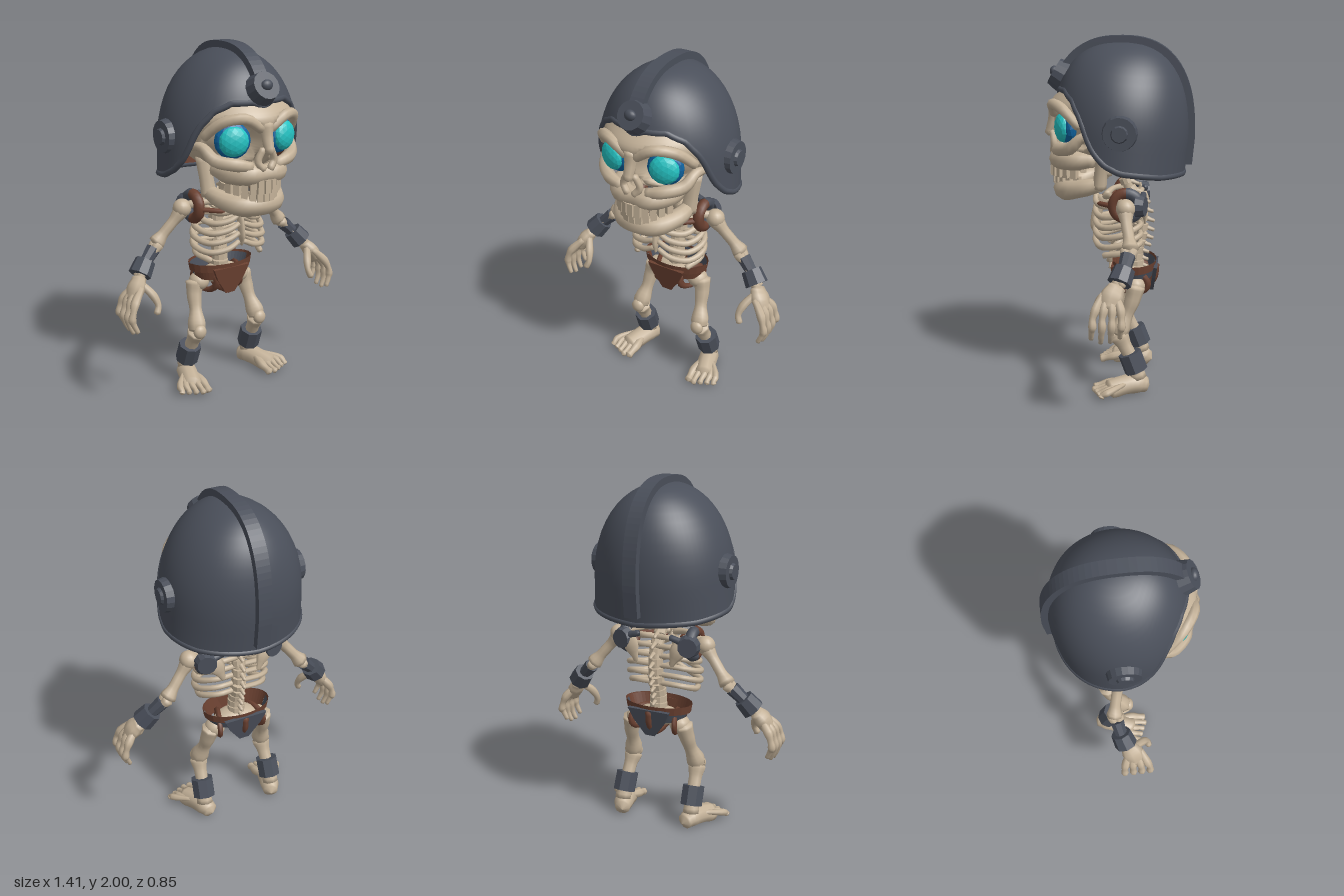
import * as THREE from 'three';

const mat = (name, color, side = THREE.FrontSide) => {
  const m = new THREE.MeshStandardMaterial({ color, side });
  m.name = name;
  return m;
};
const V = (x, y, z) => new THREE.Vector3(x, y, z);
const smooth = THREE.MathUtils.smoothstep;

export function createModel() {
  const model = new THREE.Group();
  model.name = 'helmetedSkeleton';
  const BONE = mat('bone', 0xc4b299), IRON = mat('iron', 0x4a4f5a, THREE.DoubleSide);
  const LEATHER = mat('leather', 0x6b4131, THREE.DoubleSide);
  const BLUE = mat('eyeBlue', 0x0f639f), CYAN = mat('eyeCyan', 0x25c3c3);

  const add = (name, geo, material) => {
    const m = new THREE.Mesh(geo, material);
    m.name = name;
    model.add(m);
    return m;
  };
  const facet = g => { const f = g.index ? g.toNonIndexed() : g; f.computeVertexNormals(); return f; };
  const indexed = (pos, idx) => {
    const g = new THREE.BufferGeometry();
    g.setAttribute('position', new THREE.Float32BufferAttribute(pos, 3));
    g.setIndex(idx);
    g.computeVertexNormals();
    return g;
  };

  // Smooth tapered sweep through [x, y, z, radius] points, never below the ground
  function bone(name, pts, material = BONE, sides = 8, flat = 1) {
    const curve = new THREE.CatmullRomCurve3(pts.map(p => V(p[0], p[1], p[2])));
    const seg = (pts.length - 1) * 4, pos = [], idx = [], T = [];
    for (let i = 0; i <= seg; i++) T.push(curve.getTangent(i / seg));
    const ref = [V(0, 1, 0), V(0, 0, 1), V(1, 0, 0)]
      .map(a => [a, Math.max(...T.map(t => Math.abs(t.dot(a))))]).sort((a, b) => a[1] - b[1])[0][0];
    for (let k = -1; k <= seg + 1; k++) {
      const i = Math.min(seg, Math.max(0, k)), f = (i / seg) * (pts.length - 1);
      const j = Math.min(pts.length - 2, Math.floor(f));
      let r = THREE.MathUtils.lerp(pts[j][3], pts[j + 1][3], smooth(f - j, 0, 1));
      const c = curve.getPoint(i / seg);
      if (k !== i) { c.addScaledVector(T[i], (k - i) * r * 0.45); r = 0.001; }
      const a = V().crossVectors(ref, T[i]).normalize(), b = V().crossVectors(T[i], a);
      for (let s = 0; s < sides; s++) {
        const q = (s / sides) * Math.PI * 2;
        const p = c.clone().addScaledVector(a, r * Math.cos(q)).addScaledVector(b, r * flat * Math.sin(q));
        pos.push(p.x, Math.max(0, p.y), p.z);
      }
    }
    for (let k = 0; k < seg + 2; k++) for (let s = 0; s < sides; s++) {
      const a = k * sides + s, b = k * sides + (s + 1) % sides;
      idx.push(a, b, a + sides, b, b + sides, a + sides);
    }
    return add(name, indexed(pos, idx), material);
  }

  // Straight faceted cylinder between two points
  function rod(name, a, b, r0, r1, material, sides = 8) {
    const d = b.clone().sub(a);
    const m = add(name, facet(new THREE.CylinderGeometry(r1, r0, d.length(), sides)), material);
    m.position.copy(a).lerp(b, 0.5);
    m.quaternion.setFromUnitVectors(V(0, 1, 0), d.normalize());
    return m;
  }
  function ball(name, p, s, material = BONE) {
    const m = add(name, new THREE.SphereGeometry(1, 16, 12), material);
    m.position.set(...p);
    m.scale.set(...s);
    return m;
  }

  // ---- Helmet: dome whose lower edge height depends on the heading
  const edgeKeys = [[0, 1.69], [10, 1.715], [30, 1.715], [45, 1.67], [57, 1.58], [68, 1.42], [78, 1.345], [92, 1.3], [130, 1.265], [180, 1.245]];
  const edgeY = a => {
    const d = Math.abs(THREE.MathUtils.radToDeg(a > Math.PI ? a - 2 * Math.PI : a));
    const k = Math.max(1, edgeKeys.findIndex(e => e[0] >= d - 1e-6)), p = edgeKeys[k - 1], q = edgeKeys[k];
    return p[1] + (q[1] - p[1]) * (d - p[0]) / (q[0] - p[0]);
  };
  const dome = (a, y, off) => {
    const u = (y - 1.45) / 0.515, w = Math.min(1, Math.max(0, u)), low = Math.min(0, u);
    const rx = (0.395 + off) * Math.sqrt(1 - w * w) - low * 0.025;
    const rz = (0.377 + off) * Math.pow(1 - Math.pow(w, 2.5), 0.4) + low * 0.05;
    return V(rx * Math.sin(a), y + off * w, rz * Math.cos(a));
  };
  function shell(name, off, flip, material) {
    const N = 72, M = 16, pos = [], idx = [];
    for (let i = 0; i < N; i++) for (let j = 0; j <= M; j++) {
      const a = (i / N) * Math.PI * 2;
      const y = 1.45 + 0.515 * Math.cos(Math.acos((edgeY(a) - 1.45) / 0.515) * j / M);
      pos.push(...dome(a, y, off).toArray());
    }
    for (let i = 0; i < N; i++) for (let j = 0; j < M; j++) {
      const a = i * (M + 1) + j, b = ((i + 1) % N) * (M + 1) + j;
      if (flip) idx.push(a, b, a + 1, b, b + 1, a + 1);
      else idx.push(a, a + 1, b, b, a + 1, b + 1);
    }
    add(name, indexed(pos, idx), material);
  }
  shell('helmetShell', 0, false, IRON);
  shell('helmetLining', -0.025, true, LEATHER);
  const rimPts = Array.from({ length: 72 }, (_, i) => {
    const a = (i / 72) * Math.PI * 2;
    return dome(a, edgeY(a), -0.01);
  });
  add('helmetRim', new THREE.TubeGeometry(new THREE.CatmullRomCurve3(rimPts, true), 144, 0.018, 8, true), IRON);

  // Crest strip running from brow to nape
  const crestLine = (off, yf, yb) => Array.from({ length: 41 }, (_, i) => {
    const t = i / 40, f0 = Math.acos((yf - 1.45) / 0.515), b0 = Math.acos((yb - 1.45) / 0.515);
    const q = -f0 + t * (f0 + b0);
    const p = dome(q < 0 ? 0 : Math.PI, 1.45 + 0.515 * Math.cos(q), off);
    return new THREE.Vector2(p.z, p.y);
  });
  const crest = new THREE.ExtrudeGeometry(
    new THREE.Shape([...crestLine(0.035, 1.77, 1.29), ...crestLine(-0.01, 1.77, 1.29).reverse()]),
    { depth: 0.08, bevelEnabled: false });
  crest.rotateY(-Math.PI / 2).translate(0.04, 0, 0);
  add('helmetCrest', crest, IRON);

  // Round bosses on brow and ears
  const n = V(0, 0.5, 0.87).normalize(), bc = V(0, 1.785, 0.345);
  rod('browBoss', bc.clone().addScaledVector(n, -0.03), bc.clone().addScaledVector(n, 0.035), 0.092, 0.078, IRON, 14);
  ball('browStud', bc.clone().addScaledVector(n, 0.035).toArray(), [0.035, 0.03, 0.025], IRON);
  for (const s of [-1, 1]) {
    rod('earBoss', V(s * 0.37, 1.51, -0.015), V(s * 0.415, 1.51, -0.015), 0.097, 0.088, IRON, 18);
    rod('earStud', V(s * 0.41, 1.51, -0.015), V(s * 0.43, 1.51, -0.015), 0.05, 0.04, IRON, 12);
  }

  // ---- Skull: ellipsoid with pressed-in eye sockets and nose
  const skull = new THREE.SphereGeometry(1, 72, 52).scale(0.32, 0.27, 0.35).translate(0, 1.56, 0.04);
  const sp = skull.attributes.position;
  for (let i = 0; i < sp.count; i++) {
    const x = sp.getX(i), y = sp.getY(i), z = sp.getZ(i);
    if (z < 0.1) continue;
    const eye = 1 - smooth(Math.hypot(Math.abs(x) - 0.155, y - 1.51), 0.095, 0.135);
    const nose = 1 - smooth(Math.hypot(x * 1.3, y - 1.4), 0.03, 0.06);
    const brow = Math.exp(-Math.pow((y - 1.63) / 0.05, 2)) * 0.02;
    sp.setZ(i, z + brow - 0.1 * eye - 0.06 * nose);
  }
  skull.computeVertexNormals();
  add('skull', skull, BONE);
  bone('noseBridge', [[0, 1.6, 0.37, 0.04], [0, 1.52, 0.385, 0.032], [0, 1.45, 0.41, 0.026]]);
  bone('upperJaw', [[0.17, 1.33, 0.14, 0.04], [0.155, 1.325, 0.25, 0.055], [0.09, 1.325, 0.335, 0.06], [0, 1.325, 0.35, 0.05],
    [-0.09, 1.325, 0.335, 0.06], [-0.155, 1.325, 0.25, 0.055], [-0.17, 1.33, 0.14, 0.04]], BONE, 10);
  bone('lowerJaw', [[0.19, 1.2, 0.1, 0.04], [0.175, 1.175, 0.2, 0.05], [0.1, 1.15, 0.3, 0.06], [0, 1.15, 0.325, 0.062],
    [-0.1, 1.15, 0.3, 0.06], [-0.175, 1.175, 0.2, 0.05], [-0.19, 1.2, 0.1, 0.04]], BONE, 10);
  for (let i = -5; i <= 5; i++) {
    const a = i * 0.23, x = 0.165 * Math.sin(a), z = 0.16 + 0.225 * Math.cos(a);
    for (const [name, y, h] of [['upperTooth', 1.262, 0.075], ['lowerTooth', 1.205, 0.055]]) {
      const t = add(name, new THREE.BoxGeometry(0.034, h, 0.035), BONE);
      t.position.set(x * (y > 1.23 ? 1 : 0.93), y, z - (y > 1.23 ? 0 : 0.015));
      t.rotation.y = a;
    }
  }
  for (const s of [-1, 1]) {
    bone('jawRamus', [[s * 0.19, 1.18, 0.11, 0.04], [s * 0.2, 1.27, 0.1, 0.036], [s * 0.21, 1.4, 0.08, 0.04]], BONE, 8, 1.2);
    bone('browRidge', [[s * 0.03, 1.575, 0.375, 0.028], [s * 0.13, 1.635, 0.37, 0.03], [s * 0.23, 1.615, 0.3, 0.03], [s * 0.288, 1.53, 0.21, 0.026]]);
    bone('cheekbone', [[s * 0.08, 1.37, 0.355, 0.03], [s * 0.17, 1.39, 0.335, 0.036], [s * 0.25, 1.41, 0.26, 0.036], [s * 0.28, 1.47, 0.19, 0.028], [s * 0.3, 1.46, 0.07, 0.02]]);
    bone('noseSide', [[s * 0.025, 1.47, 0.385, 0.018], [s * 0.052, 1.4, 0.375, 0.02], [s * 0.02, 1.355, 0.385, 0.02]]);
    // Glowing eyes
    for (const [name, r, d, m] of [['eyeRim', 0.1, 0, BLUE], ['eyeGlow', 0.082, 0.026, CYAN]]) {
      const e = add(name, facet(new THREE.IcosahedronGeometry(1, 2)), m);
      e.position.set(s * (0.155 + d * 0.3), 1.51, 0.285 + d);
      e.scale.set(r, r, 0.045);
      e.rotation.y = s * 0.35;
    }
  }

  // ---- Spine
  const spine = new THREE.CatmullRomCurve3([V(0, 1.33, 0), V(0, 1.2, -0.02), V(0, 1.05, -0.1), V(0, 0.9, -0.11), V(0, 0.78, -0.08), V(0, 0.66, -0.08)]);
  for (let i = 0; i < 15; i++) {
    const p = spine.getPoint(i / 14), t = spine.getTangent(i / 14).multiplyScalar(0.018), r = 0.03 + 0.0016 * i;
    rod('vertebra', p.clone().add(t), p.clone().sub(t), r, r, BONE, 10);
    bone('spinalSpur', [[0, p.y, p.z - 0.02, 0.018], [0, p.y - 0.02, p.z - 0.075, 0.01]], BONE, 6);
  }
  bone('spinalCore', [0, 0.25, 0.5, 0.75, 1].map(t => [...spine.getPoint(t).toArray(), 0.028]));
  bone('breastbone', [[0, 1.09, 0.1, 0.035], [0, 1.02, 0.135, 0.03], [0, 0.93, 0.15, 0.03], [0, 0.87, 0.15, 0.012]], BONE, 8, 0.5);

  for (const s of [-1, 1]) {
    // Ribs, the lowest ones ending free
    [[1.085, 0.14], [1.03, 0.18], [0.975, 0.205], [0.92, 0.215], [0.865, 0.215], [0.815, 0.2]].forEach(([y, w], i) => {
      const pts = [[0, y + 0.03, -0.1, 0.016], [s * w * 0.65, y + 0.035, -0.11, 0.016], [s * w, y, -0.02, 0.018], [s * w * 0.85, y - 0.025, 0.09, 0.018]];
      if (i < 5) pts.push([s * w * 0.42, y - 0.01, 0.14, 0.017], [s * 0.015, Math.max(0.89, y + 0.02), 0.145, 0.015]);
      bone('rib', pts, BONE, 7);
    });

    // Shoulder harness: leather front, iron back
    bone('collarbone', [[s * 0.02, 1.1, 0.09, 0.02], [s * 0.12, 1.12, 0.05, 0.016], [s * 0.25, 1.1, -0.03, 0.025]]);
    bone('shoulderBlade', [[s * 0.2, 1.12, -0.1, 0.04], [s * 0.15, 1.06, -0.13, 0.05], [s * 0.11, 0.97, -0.14, 0.015]], BONE, 8, 0.4);
    bone('chestStrap', [[s * 0.05, 1.065, 0.125, 0.02], [s * 0.12, 1.075, 0.1, 0.022], [s * 0.2, 1.08, 0.03, 0.024]], LEATHER, 8, 0.6);
    for (const [name, m, turn] of [['shoulderStrapFront', LEATHER, -Math.PI / 2], ['shoulderStrapBack', IRON, Math.PI / 2]]) {
      const g = new THREE.TorusGeometry(0.07, 0.032, 8, 14, Math.PI).rotateZ(turn).rotateY(-Math.PI / 2);
      add(name, g, m).position.set(s * 0.205, 1.085, -0.04);
    }
    rod('shoulderPlate', V(s * 0.2, 1.085, -0.1), V(s * 0.21, 1.085, -0.145), 0.068, 0.055, IRON, 12);
    bone('backStrap', [[s * 0.19, 1.1, -0.12, 0.025], [s * 0.1, 1.13, -0.13, 0.018]], IRON);

    // Arm
    ball('shoulderJoint', [s * 0.275, 1.085, -0.04], [0.053, 0.053, 0.053]);
    bone('upperArm', [[s * 0.28, 1.07, -0.04, 0.045], [s * 0.33, 1.01, -0.05, 0.031], [s * 0.38, 0.95, -0.065, 0.031], [s * 0.425, 0.895, -0.075, 0.047]]);
    for (const k of [-1, 1])
      bone('forearm', [[s * 0.425, 0.89, -0.07 + k * 0.018, 0.032], [s * 0.48, 0.835, -0.055 + k * 0.014, 0.018], [s * 0.57, 0.74, -0.02 + k * 0.014, 0.026]]);
    rod('forearmWrap', V(s * 0.45, 0.87, -0.065), V(s * 0.52, 0.8, -0.045), 0.042, 0.034, IRON, 8);
    rod('wristCuff', V(s * 0.51, 0.815, -0.05), V(s * 0.562, 0.75, -0.025), 0.058, 0.066, IRON, 8);

    // Hand
    bone('palm', [[s * 0.57, 0.735, -0.015, 0.034], [s * 0.605, 0.69, 0.01, 0.045], [s * 0.64, 0.63, 0.025, 0.035]], BONE, 8, 1.4);
    for (let i = 0; i < 4; i++) {
      const z = 0.105 - i * 0.05, d = [0.02, 0, 0.005, 0.03][i];
      bone('finger', [[s * 0.595, 0.7, 0.02 + (z - 0.02) * 0.4, 0.02], [s * 0.655, 0.635, z * 0.85, 0.026], [s * 0.675, 0.59, z, 0.018],
        [s * 0.683, 0.55, z, 0.023], [s * 0.675, 0.5 + d, z + 0.005, 0.016], [s * 0.655, 0.455 + d, z + 0.01, 0.013]], BONE, 7);
    }
    bone('thumb', [[s * 0.575, 0.71, 0.02, 0.022], [s * 0.535, 0.655, 0.075, 0.024], [s * 0.52, 0.6, 0.105, 0.018], [s * 0.535, 0.56, 0.115, 0.019]], BONE, 7);

    // Leg
    ball('hipJoint', [s * 0.14, 0.61, -0.085], [0.06, 0.055, 0.06]);
    bone('thigh', [[s * 0.165, 0.61, -0.09, 0.055], [s * 0.18, 0.54, -0.075, 0.045], [s * 0.19, 0.46, -0.045, 0.037], [s * 0.205, 0.38, -0.01, 0.054], [s * 0.21, 0.345, 0, 0.05]]);
    ball('kneecap', [s * 0.21, 0.345, 0.035], [0.04, 0.042, 0.03]);
    bone('shin', [[s * 0.21, 0.335, 0, 0.055], [s * 0.215, 0.27, -0.035, 0.04], [s * 0.22, 0.18, -0.08, 0.038], [s * 0.225, 0.085, -0.11, 0.05]]);
    rod('ankleCuff', V(s * 0.222, 0.13, -0.1), V(s * 0.219, 0.235, -0.06), 0.067, 0.067, IRON, 8);

    // Foot with five toes
    bone('foot', [[s * 0.205, 0.04, -0.155, 0.045], [s * 0.225, 0.055, -0.1, 0.058], [s * 0.25, 0.045, -0.02, 0.058], [s * 0.275, 0.025, 0.05, 0.06]], BONE, 10);
    for (let i = 0; i < 5; i++) {
      const x = 0.215 + i * 0.037, end = 0.15 - Math.abs(i - 0.7) * 0.018, r = i ? 0.018 : 0.024;
      bone('toe', [[s * (0.225 + i * 0.014), 0.07, -0.04, r * 0.8], [s * (x - 0.003), 0.045, 0.055, r * 1.15], [s * x, 0.03, (0.06 + end) / 2 + 0.01, r * 0.85],
        [s * (x + 0.004), 0.02, end, r]], BONE, 7);
    }
    // Strap looped round the top of the thigh
    const loop = add('thighStrap', new THREE.TorusGeometry(0.062, 0.016, 6, 18), LEATHER);
    loop.position.set(s * 0.11, 0.62, -0.07);
    loop.rotation.set(0, s * 1.25, 0);
    loop.scale.set(1.45, 1, 1);
  }

  // ---- Hip belt: leather front, iron back, leather top band
  ball('pelvis', [0, 0.645, -0.075], [0.14, 0.055, 0.08]);
  const hip = (name, m, rt, rb, y0, y1, start, len) => {
    const g = new THREE.CylinderGeometry(rt, rb, y1 - y0, 24, 1, true, start, len).scale(1, 1, 0.62);
    add(name, facet(g), m).position.set(0, (y0 + y1) / 2, -0.075);
  };
  hip('hipFront', LEATHER, 0.195, 0.165, 0.635, 0.73, -Math.PI / 2, Math.PI);
  hip('hipBack', IRON, 0.195, 0.165, 0.635, 0.72, Math.PI / 2, Math.PI);
  hip('beltBand', LEATHER, 0.205, 0.197, 0.685, 0.732, 0, Math.PI * 2);
  const flap = (name, m, w, z, tilt) => {
    const s = new THREE.Shape([[-w, 0.1], [-w * 0.75, 0.03], [-0.03, -0.06], [0.03, -0.06], [w * 0.75, 0.03], [w, 0.1]].reverse().map(p => new THREE.Vector2(...p)));
    const f = add(name, new THREE.ExtrudeGeometry(s, { depth: 0.02, bevelEnabled: false }), m);
    f.position.set(0, 0.61, z);
    f.rotation.x = tilt;
  };
  flap('frontFlap', LEATHER, 0.12, 0.022, 0.12);
  flap('backFlap', IRON, 0.13, -0.195, -0.15);
  bone('crotchStrap', [[0, 0.7, -0.2, 0.02], [0, 0.61, -0.185, 0.02], [0, 0.55, -0.1, 0.022], [0, 0.56, 0.02, 0.022]], LEATHER, 6);
  return model;
}
